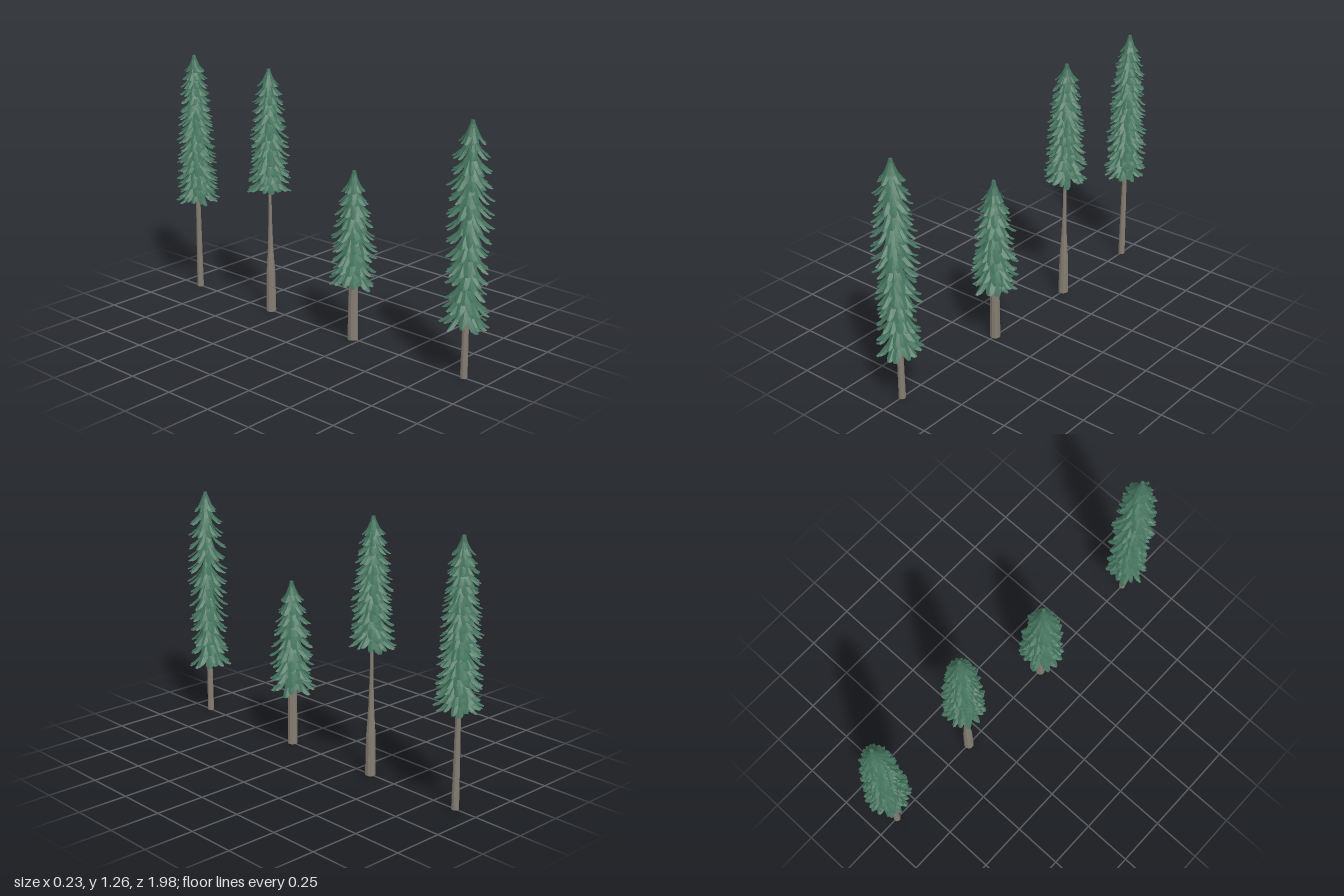
import * as THREE from 'three';

const bark = new THREE.MeshStandardMaterial({ color: 0x857d72, flatShading: true });
const needles = new THREE.MeshStandardMaterial({ color: 0x42705b, flatShading: true, side: THREE.DoubleSide });

// Small seeded generator, so every tree is ragged in its own repeatable way
function seeded(seed) {
  let s = seed;
  return () => (s = (s * 16807) % 2147483647) / 2147483647;
}

// Linear lookup in a list of [height, radius] pairs, lowest first
function lookup(profile, y) {
  for (let i = 1; i < profile.length; i++) {
    const [y0, r0] = profile[i - 1], [y1, r1] = profile[i];
    if (y <= y1) return THREE.MathUtils.lerp(r0, r1, Math.max(0, (y - y0) / (y1 - y0)));
  }
  return profile[profile.length - 1][1];
}

// Bough stations: [share of reach, share of drop, share of width]
const stations = [[0.08, 0, 0.3], [0.25, 0.3, 0.75], [0.5, 0.66, 1], [0.78, 0.9, 0.85], [0.95, 1, 0.4]];

// One drooping bough: a strip folded along its middle, swept out from the trunk
function addBough(pos, idx, angle, top, reach, drop, width, skew) {
  const base = pos.length / 3;
  const c = Math.cos(angle), s = Math.sin(angle);
  stations.forEach(([u, v, w], i) => {
    for (const side of [-1, 0, 1]) {
      const ridge = side === 0 ? 1.06 : 1;
      const r = reach * u * ridge;
      const across = side * w * width / 2 + skew * u * u;
      const y = top - drop * v - Math.abs(side) * w * width * 0.22;
      pos.push(r * c - across * s, y, r * s + across * c);
    }
    if (i === 0) return;
    for (let k = 0; k < 2; k++) {
      const a = base + (i - 1) * 3 + k, b = a + 3;
      idx.push(a, a + 1, b, a + 1, b + 1, b);
    }
  });
}

// All tiers of boughs of one tree
function makeFoliage({ bottom, top, tiers, boughs, drop, width, profile, seed }) {
  const rand = seeded(seed);
  const pos = [], idx = [];
  for (let t = 0; t < tiers; t++) {
    const f = t / (tiers - 1);
    const tipY = THREE.MathUtils.lerp(bottom + 0.015, top - drop * 0.75, f);
    const count = Math.round(boughs * (1 - 0.25 * f));
    const tierDrop = drop * (1 - 0.25 * f);
    const turn = rand() * Math.PI * 2;
    for (let b = 0; b < count; b++) {
      const angle = turn + (b + (rand() - 0.5) * 0.5) / count * Math.PI * 2;
      const lift = (rand() - 0.5) * 0.03 * (1 - f);
      const reach = lookup(profile, tipY) * (0.82 + 0.2 * rand());
      addBough(pos, idx, angle, tipY + lift + tierDrop, reach, tierDrop,
        width * (0.8 + 0.4 * rand()) * (1 - 0.25 * f), (rand() - 0.5) * 0.025);
    }
  }
  const geo = new THREE.BufferGeometry();
  geo.setAttribute('position', new THREE.Float32BufferAttribute(pos, 3));
  geo.setIndex(idx);
  geo.computeVertexNormals();
  const mesh = new THREE.Mesh(geo, needles);
  mesh.name = 'foliage';
  return mesh;
}

// Closed, tapering trunk from [radius, height] pairs
function makeTrunk(points) {
  const outline = [[0, 0], ...points, [0, points[points.length - 1][1]]];
  const mesh = new THREE.Mesh(
    new THREE.LatheGeometry(outline.map(([r, y]) => new THREE.Vector2(r, y)), 10), bark);
  mesh.name = 'trunk';
  return mesh;
}

const trees = [
  { name: 'tallLooseTree', z: 0.875, seed: 11, bottom: 0.25, top: 1.2, tiers: 14, boughs: 14, drop: 0.13, width: 0.04,
    profile: [[0.25, 0.122], [0.35, 0.11], [0.43, 0.095], [0.52, 0.112], [0.62, 0.1], [0.7, 0.115], [0.9, 0.108], [1.05, 0.088], [1.12, 0.06]],
    trunk: [[0.017, 0], [0.015, 0.3], [0.006, 1.15]] },
  { name: 'shortTree', z: 0.21, seed: 29, bottom: 0.28, top: 0.85, tiers: 9, boughs: 15, drop: 0.13, width: 0.042,
    profile: [[0.28, 0.122], [0.45, 0.118], [0.62, 0.1], [0.7, 0.08], [0.77, 0.058]],
    trunk: [[0.026, 0], [0.023, 0.3], [0.006, 0.8]] },
  { name: 'bareStemTree', z: -0.345, seed: 47, bottom: 0.64, top: 1.26, tiers: 13, boughs: 17, drop: 0.11, width: 0.036,
    profile: [[0.64, 0.116], [0.8, 0.106], [1.0, 0.092], [1.12, 0.078], [1.18, 0.058]],
    trunk: [[0.026, 0], [0.023, 0.2], [0.014, 0.34], [0.009, 0.5], [0.008, 0.68], [0.005, 1.2]] },
  { name: 'tallDenseTree', z: -0.88, seed: 83, bottom: 0.47, top: 1.26, tiers: 18, boughs: 17, drop: 0.11, width: 0.036,
    profile: [[0.47, 0.117], [0.7, 0.108], [0.9, 0.096], [1.05, 0.084], [1.14, 0.066], [1.2, 0.045]],
    trunk: [[0.018, 0], [0.012, 0.5], [0.005, 1.2]] },
];

export function createModel() {
  const row = new THREE.Group();
  row.name = 'treeRow';
  for (const spec of trees) {
    const tree = new THREE.Group();
    tree.name = spec.name;
    tree.position.z = spec.z;
    // Blunt leader that closes the top of the crown
    const leader = new THREE.Mesh(new THREE.CylinderGeometry(0.009, 0.022, 0.06, 7), needles);
    leader.name = 'crownTip';
    leader.position.y = spec.top - 0.03;
    tree.add(makeTrunk(spec.trunk), makeFoliage(spec), leader);
    row.add(tree);
  }
  return row;
}
